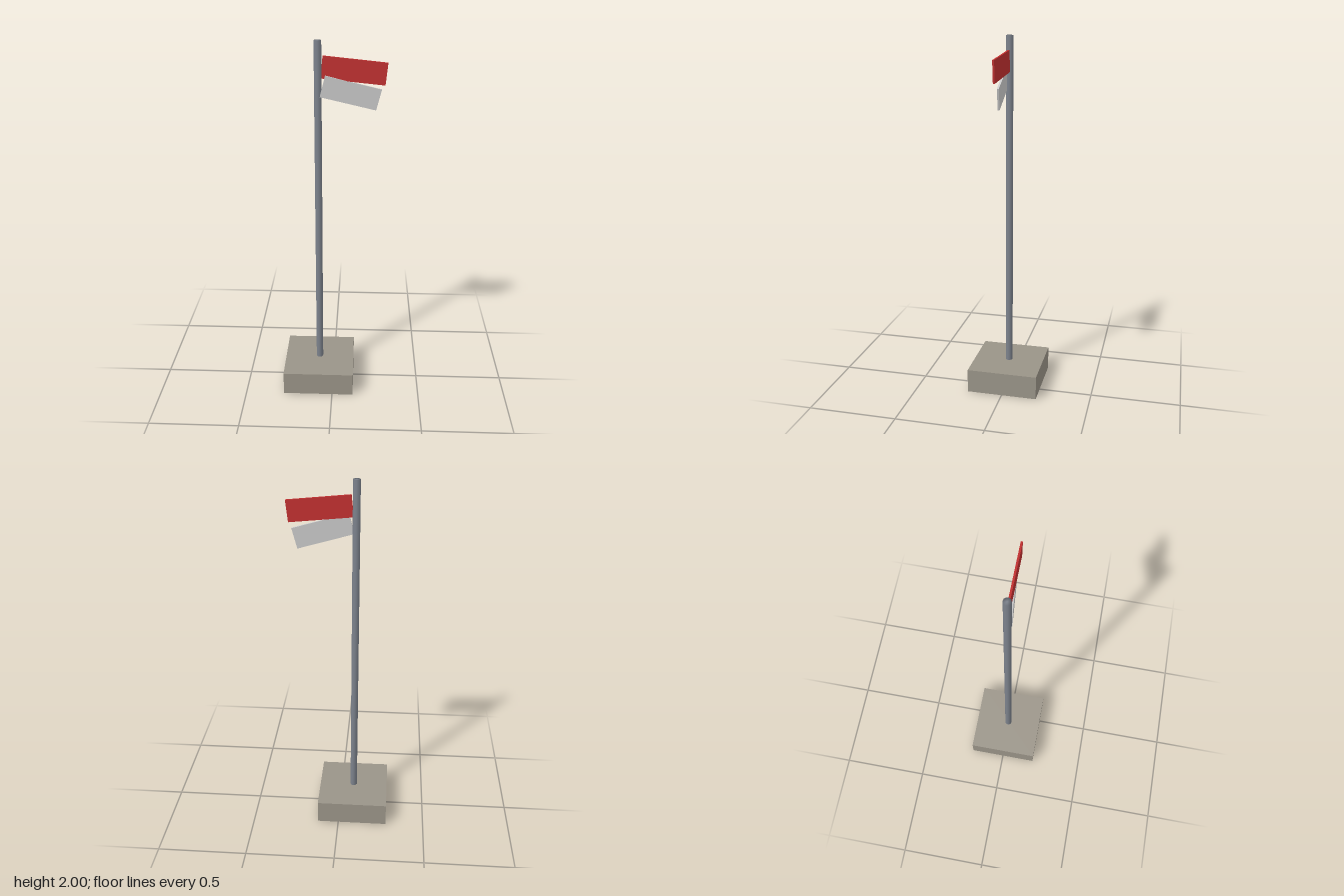
import * as THREE from 'three';
import { mergeVertices } from 'three/addons/utils/BufferGeometryUtils.js';

export function createModel() {
  const group = new THREE.Group();

  function add(name, geometry, color, position, rotation = [0, 0, 0]) {
    const mesh = new THREE.Mesh(geometry, new THREE.MeshStandardMaterial({ color }));
    mesh.name = name;
    mesh.position.set(...position);
    mesh.rotation.set(...rotation);
    group.add(mesh);
  }

  // Square foot block, centred under the pole
  const poleX = -0.08;
  add('base', new THREE.BoxGeometry(0.4, 0.135, 0.4), 0x9a9488, [poleX, 0.0675, 0]);

  // Ten-sided pole, with normals smoothed over the caps
  let pole = new THREE.CylinderGeometry(0.02, 0.02, 2, 10);
  pole.deleteAttribute('uv');
  pole.deleteAttribute('normal');
  pole = mergeVertices(pole);
  pole.computeVertexNormals();
  add('pole', pole, 0x7c828c, [poleX, 1, 0]);

  // Two drooping pennant strips
  add('upperFlag', new THREE.BoxGeometry(0.332, 0.115, 0.01), 0xc23030, [0.105, 1.85, 0], [0, 0, -0.1]);
  add('lowerFlag', new THREE.BoxGeometry(0.3, 0.112, 0.01), 0xd6d6d2, [0.089, 1.734, 0], [0, 0.1, -0.25]);

  return group;
}
